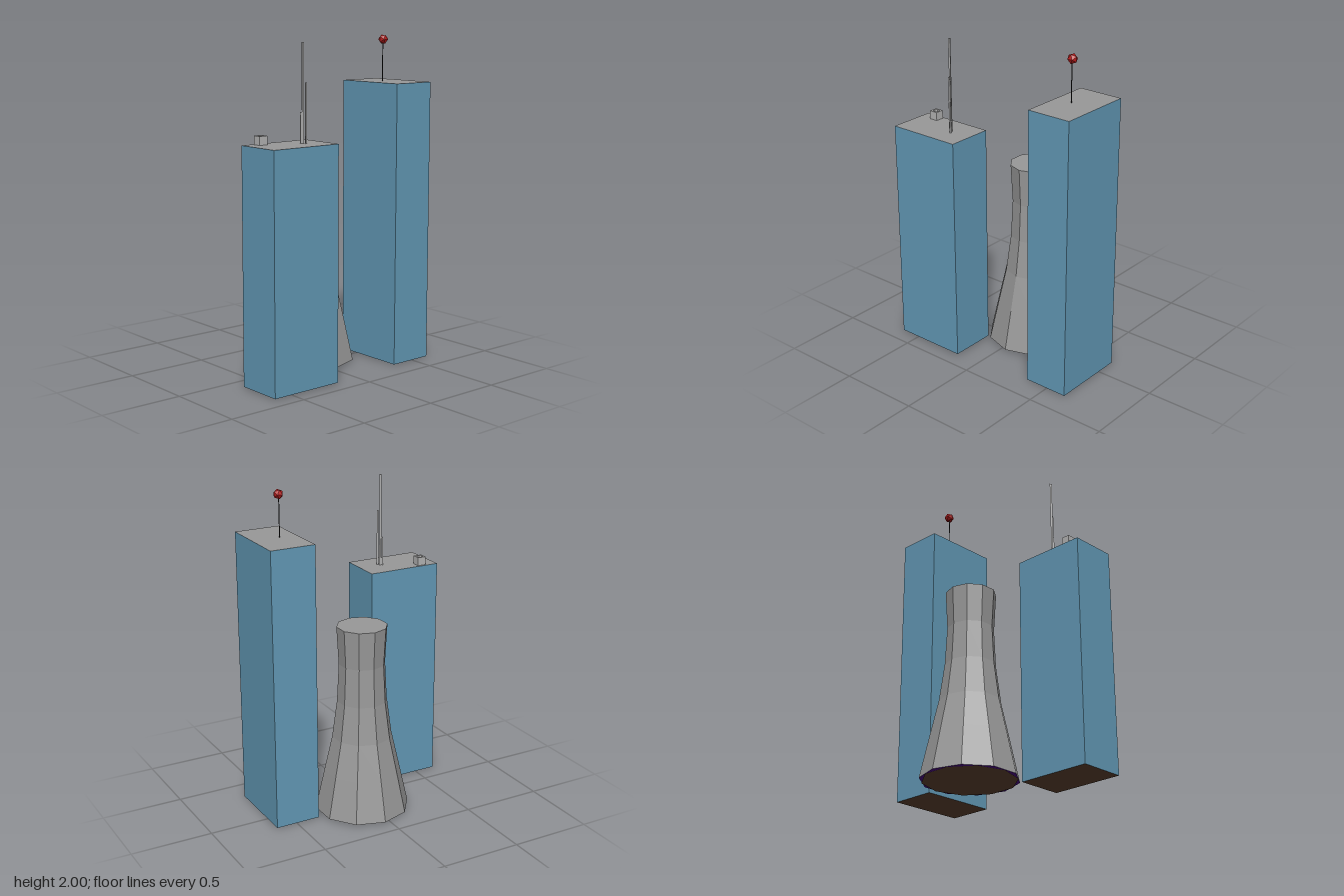
import * as THREE from 'three';

const mat = (name, color, extra = {}) =>
  Object.assign(new THREE.MeshStandardMaterial({ color, flatShading: true, ...extra }), { name });

export function createModel() {
  const root = new THREE.Group();
  root.name = 'cityBuildings';
  const glass = mat('blueGlass', 0x6399b6);
  const grey = mat('concreteGrey', 0x999999);
  const brown = mat('foundationBrown', 0x5e4230);
  const purple = mat('undersidePurple', 0x4b0082);
  const black = mat('mastBlack', 0x1c1c1c);
  const red = mat('beaconRed', 0xb81c1c);
  const pale = mat('metalPale', 0xb4b4b4);

  const add = (name, geometry, material, x, y, z, parent = root) => {
    const mesh = new THREE.Mesh(geometry, material);
    mesh.name = name;
    mesh.position.set(x, y, z);
    parent.add(mesh);
    return mesh;
  };

  // Office blocks: glass walls, grey roof, brown underside
  const block = (name, x0, x1, y0, y1, z0, z1) =>
    add(name, new THREE.BoxGeometry(x1 - x0, y1 - y0, z1 - z0),
      [glass, glass, grey, brown, glass, glass],
      (x0 + x1) / 2, (y0 + y1) / 2, (z0 + z1) / 2);
  block('tallBlock', -0.134, 0.343, 0, 1.72, -0.63, -0.35);
  block('shortBlock', 0.11, 0.402, 0.005, 1.407, 0.16, 0.627);

  // Ten-sided flared cooling tower, closed at the top and bottom
  const profile = [
    [0.29, 0.008], [0.234, 0.26], [0.184, 0.48], [0.153, 0.71], [0.141, 0.945], [0.154, 1.18],
  ].map(([r, y]) => new THREE.Vector2(r, y));
  const tower = new THREE.Group();
  tower.name = 'coolingTower';
  tower.position.set(-0.113, 0, -0.037);
  tower.rotation.y = Math.PI / 2;
  root.add(tower);
  add('towerWall', new THREE.LatheGeometry(profile, 10), grey, 0, 0, 0, tower);
  const disc = (name, r, y, material, up, turn = 0) => {
    const g = new THREE.CircleGeometry(r, 10, Math.PI / 2 + turn);
    add(name, g.rotateX(up ? -Math.PI / 2 : Math.PI / 2), material, 0, y, 0, tower);
  };
  disc('towerTop', 0.154, 1.18, grey, true);
  disc('towerUnderside', 0.29, 0.008, purple, false);
  disc('towerFoundation', 0.279, 0.004, brown, false, Math.PI / 10);

  // Mast and beacon on the tall block
  add('beaconMast', new THREE.CylinderGeometry(0.003, 0.003, 0.25, 6), black, 0.1, 1.845, -0.46);
  add('beacon', new THREE.IcosahedronGeometry(0.031, 0), red, 0.1, 1.974, -0.463);

  // Three-sided antennas on the short block: x, z, top, radius
  for (const [x, z, top, r] of [
    [0.255, 0.303, 1.977, 0.008], [0.273, 0.294, 1.752, 0.007], [0.252, 0.315, 1.585, 0.007],
  ]) {
    const h = top - 1.4;
    add('antenna', new THREE.CylinderGeometry(r, r, h, 3).rotateY(Math.PI / 6), pale,
      x, 1.4 + h / 2, z);
  }

  // Roof fan unit: square casing with an octagonal opening
  const s = 0.027;
  const casing = new THREE.Shape([[-s, -s], [s, -s], [s, s], [-s, s]].map(p => new THREE.Vector2(...p)));
  const hole = new THREE.Path();
  hole.setFromPoints(Array.from({ length: 8 }, (_, i) => {
    const a = -(i + 0.5) * Math.PI / 4;
    return new THREE.Vector2(Math.cos(a) * 0.02, Math.sin(a) * 0.02);
  }));
  casing.holes.push(hole);
  add('fanCasing', new THREE.ExtrudeGeometry(casing, { depth: 0.053, bevelEnabled: false })
    .rotateX(-Math.PI / 2), pale, 0.15, 1.405, 0.523);
  add('fanPlate', new THREE.CylinderGeometry(0.02, 0.02, 0.04, 8).rotateY(Math.PI / 8), grey,
    0.15, 1.425, 0.523);

  return root;
}
